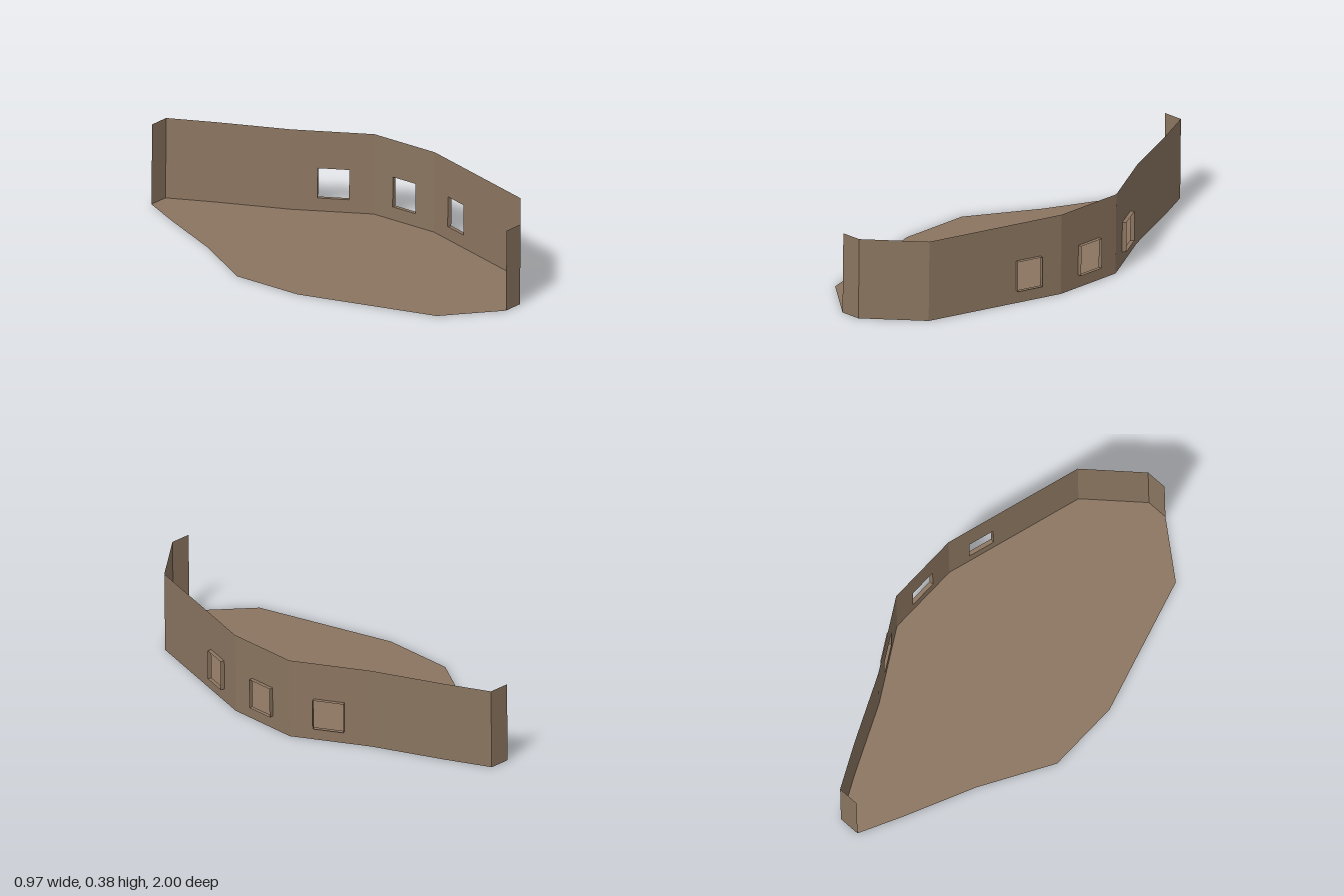
import * as THREE from 'three';

const HEIGHT = 0.375;
const LEAN = 0.005;      // sideways drift of the wall top
const AXIS = -0.012;     // mirror line of the floor plan
const REVEAL = 0.019;    // how far the window frames stick out

// Half plan from front to back: [x, z]
const PLAN = [
  [0.037, 1], [0.277, 0.805], [0.463, 0.17], [0.463, -0.17],
  [0.277, -0.49], [0.136, -0.8], [0.037, -1],
];
const mirror = ([x, z]) => [2 * AXIS - x, z];

// Windows: wall segment they sit in and their z range
const WINDOWS = [
  { segment: 2, z0: 0.387, z1: 0.27 },
  { segment: 3, z0: 0.064, z1: -0.064 },
  { segment: 4, z0: -0.265, z1: -0.386 },
];
const SILL = 0.06, LINTEL = 0.2;

export function createModel() {
  const model = new THREE.Group();
  model.name = 'walledDeck';
  const brown = new THREE.MeshStandardMaterial({ color: 0x8b7560, side: THREE.DoubleSide });
  brown.name = 'brown';

  const add = (geometry, name) => {
    const mesh = new THREE.Mesh(geometry, brown);
    mesh.name = name;
    model.add(mesh);
  };

  // Flat floor
  const outline = [...PLAN, ...PLAN.map(mirror).reverse()];
  const floor = new THREE.ShapeGeometry(
    new THREE.Shape(outline.map(([x, z]) => new THREE.Vector2(x, -z))));
  add(floor.rotateX(-Math.PI / 2), 'floor');

  // Wall panels along one side, with short returns at both ends
  const path = [mirror(PLAN[0]), ...PLAN, mirror(PLAN[PLAN.length - 1])];
  for (let i = 0; i < path.length - 1; i++) {
    const a = new THREE.Vector3(path[i][0], 0, path[i][1]);
    const b = new THREE.Vector3(path[i + 1][0], 0, path[i + 1][1]);
    const length = a.distanceTo(b);
    const along = b.clone().sub(a).normalize();
    const out = along.clone().cross(new THREE.Vector3(0, 1, 0));
    const up = new THREE.Vector3(LEAN / HEIGHT, 1, 0);
    const place = new THREE.Matrix4().makeBasis(along, up, out).setPosition(a);

    const panel = new THREE.Shape([
      new THREE.Vector2(0, 0), new THREE.Vector2(length, 0),
      new THREE.Vector2(length, HEIGHT), new THREE.Vector2(0, HEIGHT),
    ]);

    for (const w of WINDOWS.filter((win) => win.segment === i)) {
      const s0 = (a.z - w.z0) / (a.z - b.z) * length;
      const s1 = (a.z - w.z1) / (a.z - b.z) * length;
      const width = s1 - s0, tall = LINTEL - SILL;
      panel.holes.push(new THREE.Path([
        new THREE.Vector2(s0, SILL), new THREE.Vector2(s0, LINTEL),
        new THREE.Vector2(s1, LINTEL), new THREE.Vector2(s1, SILL),
      ]));

      // Thin projecting frame: two jambs, a sill and a lintel
      for (const s of [s0, s1]) {
        add(new THREE.PlaneGeometry(REVEAL, tall)
          .rotateY(s === s0 ? -Math.PI / 2 : Math.PI / 2)
          .translate(s, SILL + tall / 2, REVEAL / 2)
          .applyMatrix4(place), 'windowJamb');
      }
      for (const y of [SILL, LINTEL]) {
        add(new THREE.PlaneGeometry(width, REVEAL)
          .rotateX(y === SILL ? Math.PI / 2 : -Math.PI / 2)
          .translate(s0 + width / 2, y, REVEAL / 2)
          .applyMatrix4(place), y === SILL ? 'windowSill' : 'windowLintel');
      }
    }
    add(new THREE.ShapeGeometry(panel).applyMatrix4(place), 'wallPanel');
  }
  return model;
}
